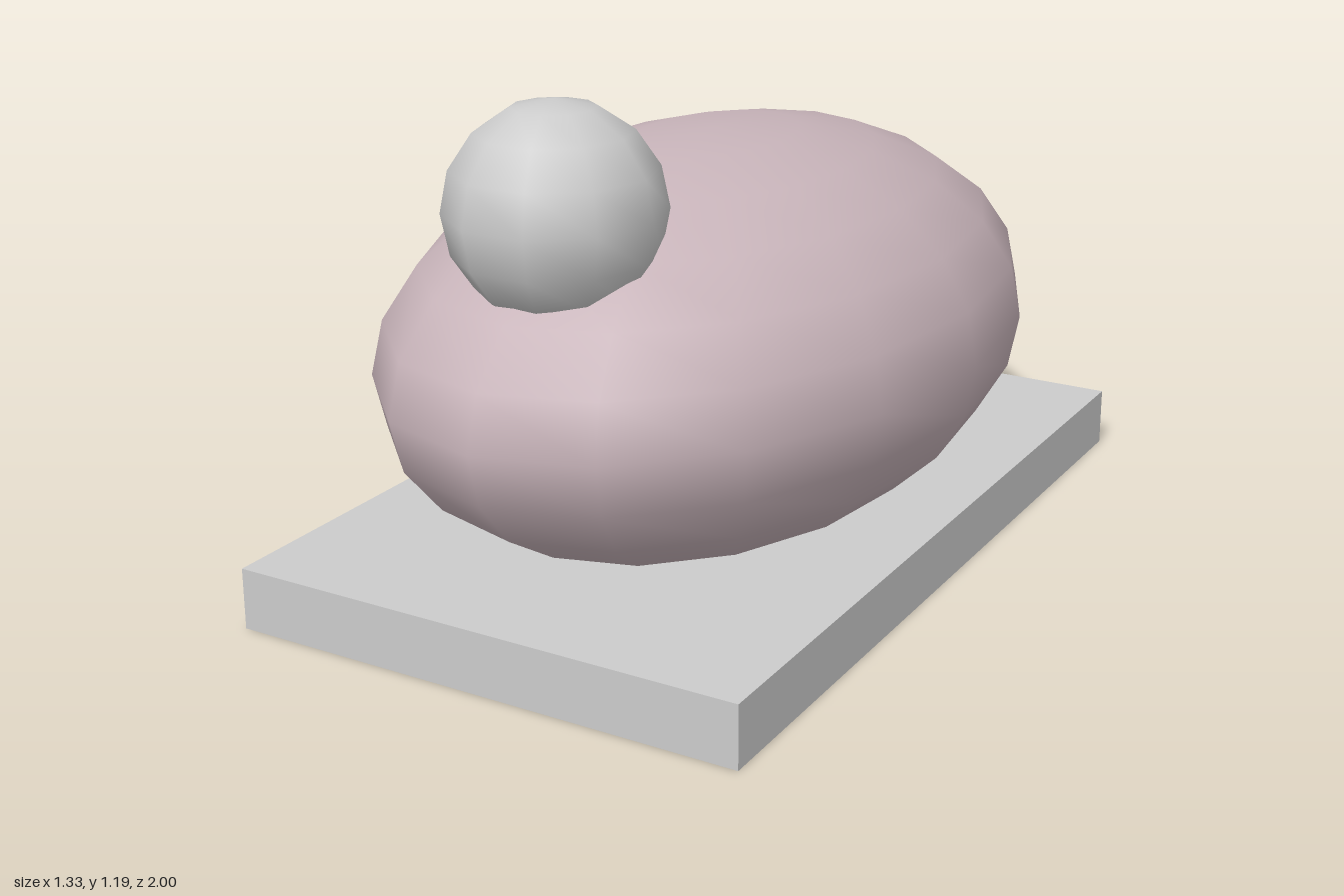
import * as THREE from 'three';

export function createModel() {
  const group = new THREE.Group();
  const grey = new THREE.MeshStandardMaterial({ color: 0xcccccc });
  const pink = new THREE.MeshStandardMaterial({ color: 0xc8b4ba });

  const add = (name, geometry, material, x, y, z) => {
    const mesh = new THREE.Mesh(geometry, material);
    mesh.name = name;
    mesh.position.set(x, y, z);
    group.add(mesh);
    return mesh;
  };

  // Flat rectangular base
  add('base', new THREE.BoxGeometry(1.236, 0.143, 2), grey, 0, 0.0715, 0);

  // Long oval body, partly sunk into the base
  const body = add('body', new THREE.SphereGeometry(1, 16, 12), pink, 0, 0.527, 0);
  body.scale.set(0.665, 0.473, 1);

  // Small ball resting in the front of the body
  add('ball', new THREE.SphereGeometry(0.237, 10, 8), grey, 0, 0.954, 0.667);

  return group;
}
